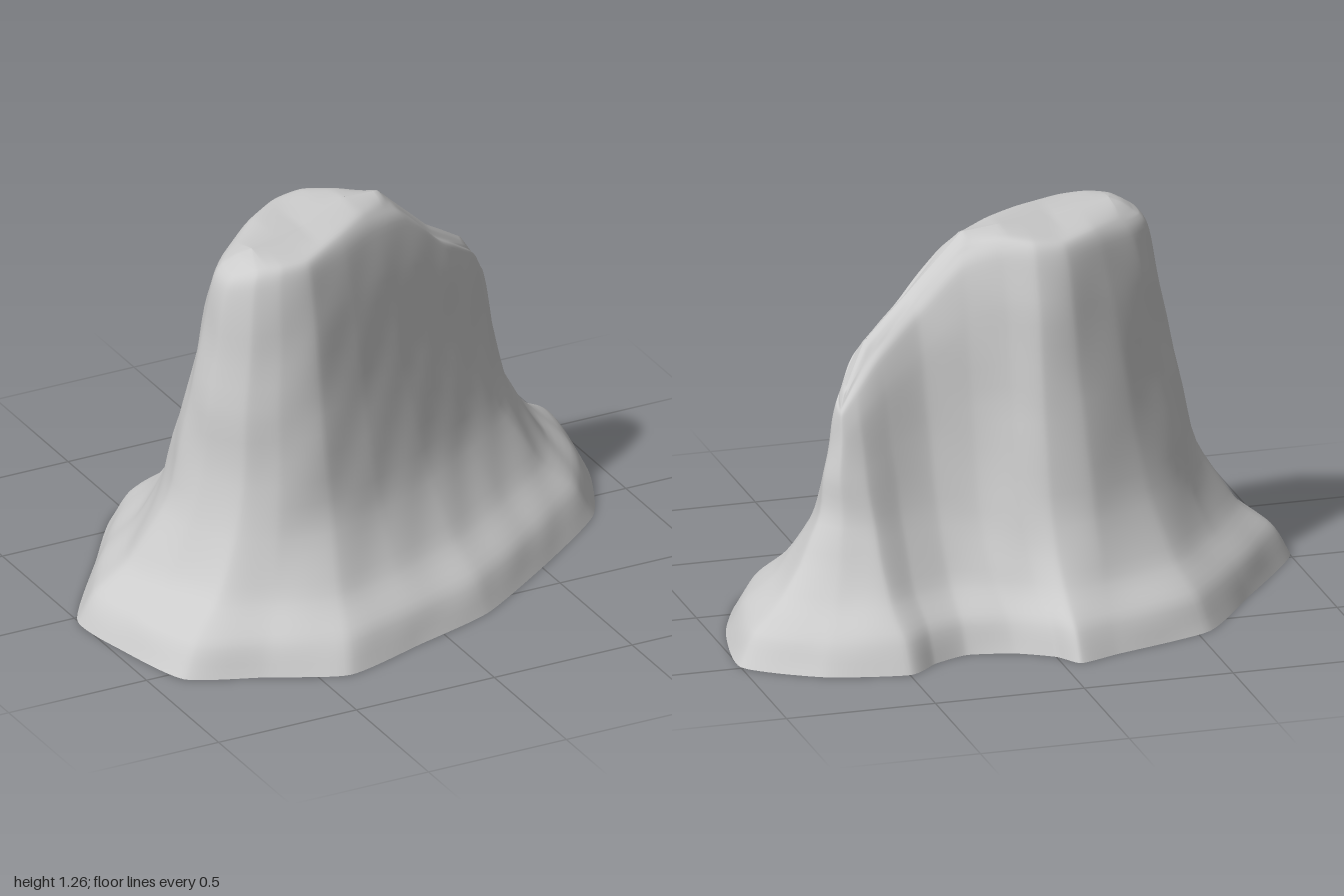
import * as THREE from 'three';

const material = new THREE.MeshStandardMaterial({ color: 0xcccccc, side: THREE.DoubleSide });

// Columns around the rock: foot x,z | waist x,z (y = 0.4) | crest x,y,z
const columns = [
  [-1, 0.02, -0.7, 0.07, -0.5, 1.2, 0.08],
  [-0.97, 0.28, -0.69, 0.22, -0.51, 1.2, 0.17],
  [-0.89, 0.55, -0.6, 0.37, -0.46, 1.22, 0.23],
  [-0.65, 0.66, -0.48, 0.43, -0.38, 1.23, 0.25],
  [-0.4, 0.77, -0.3, 0.45, -0.28, 1.23, 0.24],
  [-0.1, 0.68, -0.1, 0.39, -0.12, 1.24, 0.15],
  [0.2, 0.58, 0.14, 0.27, 0.02, 1.24, 0.06],
  [0.55, 0.34, 0.36, 0.13, 0.17, 1.2, -0.02],
  [0.82, 0.12, 0.55, -0.01, 0.33, 1.04, -0.06],
  [0.95, -0.16, 0.66, -0.17, 0.5, 0.92, -0.14],
  [1, -0.49, 0.69, -0.31, 0.59, 0.8, -0.22],
  [0.77, -0.66, 0.63, -0.39, 0.6, 0.77, -0.28],
  [0.5, -0.72, 0.53, -0.42, 0.55, 0.84, -0.25],
  [0.39, -0.64, 0.42, -0.37, 0.45, 0.94, -0.2],
  [0.27, -0.59, 0.29, -0.34, 0.31, 1.05, -0.14],
  [0.12, -0.62, 0.16, -0.36, 0.15, 1.2, -0.12],
  [0, -0.69, 0.04, -0.41, 0.03, 1.24, -0.15],
  [-0.06, -0.77, -0.06, -0.45, -0.07, 1.24, -0.2],
  [-0.2, -0.72, -0.21, -0.43, -0.17, 1.23, -0.19],
  [-0.54, -0.6, -0.42, -0.31, -0.3, 1.23, -0.1],
  [-0.75, -0.33, -0.6, -0.13, -0.43, 1.21, 0],
];

// Ridge line along the summit: x, y, z
const ridge = [
  [-0.42, 1.25, 0.12], [-0.2, 1.24, 0.04], [0, 1.26, -0.05], [0.13, 1.25, -0.06],
  [0.32, 1.07, -0.09], [0.49, 0.95, -0.17], [0.57, 0.83, -0.24],
];

// Steps around, steps per profile span, profile spans
const AROUND = 210, STEP = 5, UP = 9 * STEP;

const ring = (pick) => new THREE.CatmullRomCurve3(
  columns.map((c) => new THREE.Vector3(...pick(c))), true, 'catmullrom', 0.3);

function ridgeAt(x) {
  const cx = THREE.MathUtils.clamp(x, ridge[0][0], ridge.at(-1)[0]);
  let k = 0;
  while (k < ridge.length - 2 && cx > ridge[k + 1][0]) k++;
  const a = new THREE.Vector3(...ridge[k]), b = new THREE.Vector3(...ridge[k + 1]);
  return a.lerp(b, (cx - a.x) / (b.x - a.x));
}

// Gentle weathering of the surface
const weather = (x, y, z) =>
  Math.sin(9 * x + 5 * y + 1) * Math.sin(7 * y - 8 * z) * 0.6 +
  Math.sin(19 * x - 11 * y + 2) * Math.sin(17 * z + 13 * y) * 0.4;

function createRock() {
  const foot = ring((c) => [c[0], 0, c[1]]);
  const waist = ring((c) => [c[2], 0.4, c[3]]);
  const crest = ring((c) => [c[4], c[5], c[6]]);
  const positions = [], indices = [], outline = [];

  for (let i = 0; i < AROUND; i++) {
    const t = i / AROUND;
    const f = foot.getPoint(t), w = waist.getPoint(t), c = crest.getPoint(t);
    const flare = (k, y) => f.clone().lerp(w, k).setY(y);
    const wall = (k, h) => w.clone().lerp(c, k).setY(w.y + (c.y - w.y) * h);
    const top = ridgeAt(c.x);
    const profile = new THREE.CatmullRomCurve3([
      f, flare(0.2, 0.1), flare(0.6, 0.2), w,
      wall(0.38, 0.4), wall(0.64, 0.75), wall(0.84, 0.94), c,
      c.clone().lerp(top, 0.5).setY(c.y * 0.35 + top.y * 0.65), top,
    ], false, 'catmullrom', 0.4);
    for (let j = 0; j <= UP; j++) {
      const p = profile.getPoint(j / UP);
      const fade = Math.min(1, p.y / 0.15) * (j > 7 * STEP ? 0.3 : 1);
      const out = 1 + 0.02 * fade * weather(p.x, p.y, p.z);
      positions.push(p.x * out, Math.max(0, p.y), p.z * out);
      if (j === STEP) outline.push(new THREE.Vector2(p.x * out, p.z * out));
    }
  }
  const row = UP + 1;
  for (let i = 0; i < AROUND; i++) {
    for (let j = 0; j < UP; j++) {
      const a = i * row + j, b = ((i + 1) % AROUND) * row + j;
      indices.push(a, b, b + 1, a, b + 1, a + 1);
    }
  }
  const geometry = new THREE.BufferGeometry();
  geometry.setAttribute('position', new THREE.Float32BufferAttribute(positions, 3));
  geometry.setIndex(indices);
  geometry.computeVertexNormals();
  return { geometry, outline };
}

export function createModel() {
  const group = new THREE.Group();
  group.name = 'rockOutcrop';
  const { geometry, outline } = createRock();

  const rock = new THREE.Mesh(geometry, material);
  rock.name = 'rockBody';
  group.add(rock);

  // Flat underside, recessed within the flared skirt and facing down
  const flat = new THREE.ShapeGeometry(new THREE.Shape(outline));
  flat.rotateX(Math.PI / 2);
  const underside = new THREE.Mesh(flat, material);
  underside.name = 'underside';
  underside.position.y = 0.1;
  group.add(underside);
  return group;
}
